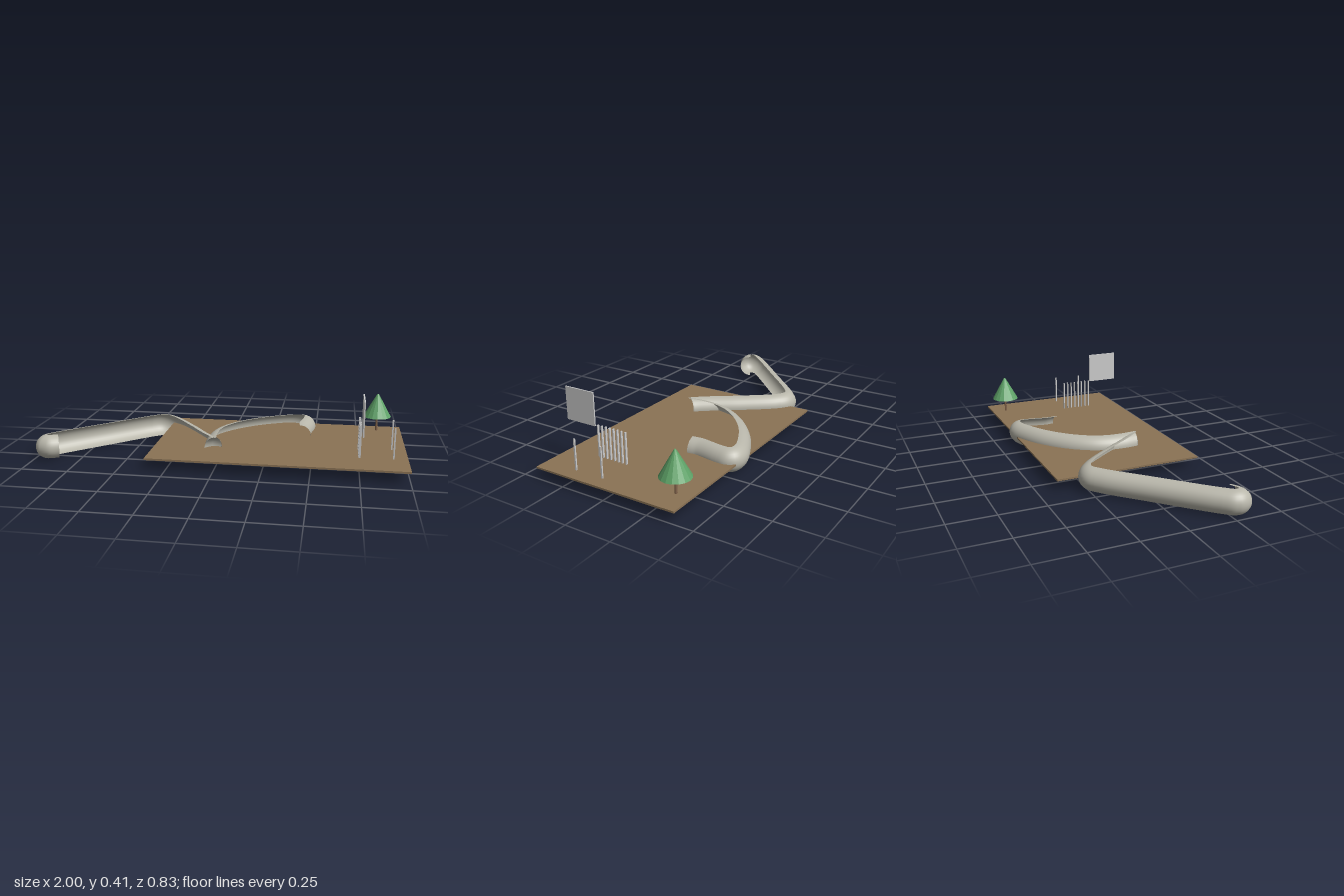
import * as THREE from 'three';

const material = (name, color, extra = {}) =>
  Object.assign(new THREE.MeshStandardMaterial({ color, ...extra }), { name });

export function createModel() {
  const stone = material('pale stone', 0xb9b7ab, { side: THREE.DoubleSide });
  const earth = material('earth brown', 0x8b7355);
  const bark = material('bark brown', 0x80624a);
  const leaf = material('leaf green', 0x5fa368, { flatShading: true });
  const metal = material('light grey', 0xcccccc);

  const model = new THREE.Group();
  model.name = 'sitePlan';
  const add = (name, geometry, mat, x = 0, y = 0, z = 0) => {
    const mesh = new THREE.Mesh(geometry, mat);
    mesh.name = name;
    mesh.position.set(x, y, z);
    model.add(mesh);
    return mesh;
  };

  // winding wall: a half-round gutter swept along a path, bulging to the left of travel
  const radius = 0.065;
  const path = new THREE.CatmullRomCurve3([
    [-0.88, 0.275], [-0.93, 0.298], [-0.935, 0.28], [-0.9, 0.235], [-0.65, -0.01],
    [-0.45, -0.2], [-0.4, -0.23], [-0.345, -0.2], [-0.2, -0.02], [-0.1, 0.12], [-0.018, 0.207],
    [-0.02, 0.12], [-0.014, 0.03], [0.012, -0.05], [0.08, -0.15], [0.19, -0.25],
    [0.3, -0.315], [0.4, -0.353], [0.433, -0.345], [0.435, -0.3], [0.415, -0.17], [0.42, -0.115],
  ].map(([x, z]) => new THREE.Vector3(x, radius, z)));
  const steps = 168, arcs = 16;
  const positions = [], index = [];
  for (let i = 0; i <= steps; i++) {
    const p = path.getPoint(i / steps);
    const t = path.getTangent(i / steps);
    for (let j = 0; j <= arcs; j++) {
      const a = (j / arcs - 0.5) * Math.PI;
      const out = Math.cos(a) * radius;
      positions.push(p.x + t.z * out, p.y + Math.sin(a) * radius, p.z - t.x * out);
      if (i < steps && j < arcs) {
        const k = i * (arcs + 1) + j, n = k + arcs + 1;
        index.push(k, k + 1, n, n, k + 1, n + 1);
      }
    }
  }
  const wall = new THREE.BufferGeometry();
  wall.setAttribute('position', new THREE.Float32BufferAttribute(positions, 3));
  wall.setIndex(index);
  wall.computeVertexNormals();
  add('windingWall', wall, stone);

  // ground slab
  const ground = 0.065;
  add('ground', new THREE.BoxGeometry(1.36, 0.01, 0.815), earth, 0.32, ground - 0.005, 0.0075);

  // tree
  add('treeTrunk', new THREE.CylinderGeometry(0.005, 0.008, 0.09, 10), bark, 0.86, ground + 0.045, -0.315);
  add('treeCrown', new THREE.CylinderGeometry(0.005, 0.08, 0.134, 16), leaf, 0.86, 0.217, -0.315);

  // row of fence posts and two free-standing posts
  for (let i = 0; i < 8; i++) {
    add('fencePost', new THREE.BoxGeometry(0.012, 0.172, 0.006), metal, 0.75, ground + 0.086, 0.055 + i * 0.0244);
  }
  for (const z of [0.062, 0.224]) {
    add('rearPost', new THREE.BoxGeometry(0.008, 0.165, 0.008), metal, 0.925, ground + 0.0825, z);
  }

  // raised sign panel
  add('signPanel', new THREE.BoxGeometry(0.007, 0.178, 0.179), metal, 0.757, 0.319, 0.3265);
  return model;
}
